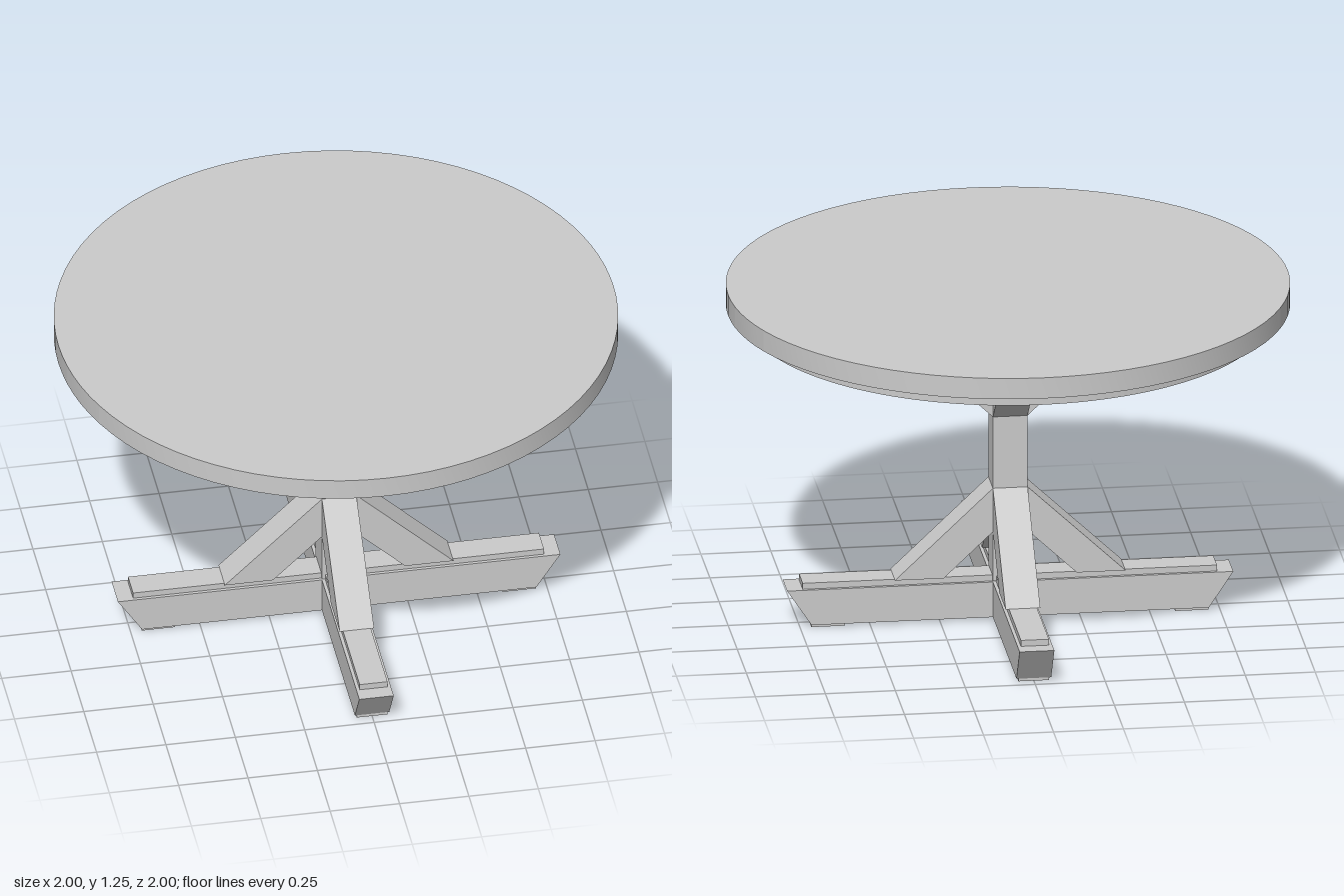
import * as THREE from 'three';
import { toCreasedNormals } from 'three/addons/utils/BufferGeometryUtils.js';

const material = new THREE.MeshStandardMaterial({ color: 0xcccccc });

function addMesh(parent, name, geometry) {
  const mesh = new THREE.Mesh(geometry, material);
  mesh.name = name;
  parent.add(mesh);
  return mesh;
}

// Side profile in x/y, given a thickness centred on z
function board(points, width) {
  const shape = new THREE.Shape(points.map(([x, y]) => new THREE.Vector2(x, y)));
  const g = new THREE.ExtrudeGeometry(shape, { depth: width, bevelEnabled: false });
  return g.translate(0, 0, -width / 2);
}

// Flat outline in x/z raised from y0 to y1, with a smooth rim
function slab(shape, y0, y1) {
  const g = new THREE.ExtrudeGeometry(shape, { depth: y1 - y0, bevelEnabled: false, curveSegments: 64 });
  g.rotateX(-Math.PI / 2).translate(0, y0, 0);
  return toCreasedNormals(g, 0.5);
}

// Slice of a unit disc between two parallel seams
function plankShape(a, b) {
  const points = [];
  const t0 = Math.asin(a), t1 = Math.asin(b);
  const n = Math.max(4, Math.ceil((t1 - t0) * 12));
  for (let i = 0; i <= n; i++) {
    const t = t0 + ((t1 - t0) * i) / n;
    points.push(new THREE.Vector2(Math.cos(t), Math.sin(t)));
  }
  for (let i = n; i >= 0; i--) {
    if (Math.abs(points[i].x) > 1e-6) points.push(new THREE.Vector2(-points[i].x, points[i].y));
  }
  return new THREE.Shape(points);
}

export function createModel() {
  const table = new THREE.Group();
  table.name = 'roundPedestalTable';
  const W = 0.124;

  // Round top made of five planks
  const top = new THREE.Group();
  top.name = 'tableTop';
  table.add(top);
  const seams = [-1, -0.384, -0.128, 0.128, 0.384, 1];
  for (let i = 0; i < 5; i++) {
    addMesh(top, 'topPlank', slab(plankShape(seams[i], seams[i + 1]), 1.167, 1.245));
  }

  // Thin ring under the top
  const ring = new THREE.Shape().absarc(0, 0, 0.927, 0, Math.PI * 2);
  ring.holes.push(new THREE.Path().absarc(0, 0, 0.89, 0, Math.PI * 2, true));
  addMesh(table, 'apronRing', slab(ring, 1.117, 1.167));

  // Central post
  addMesh(table, 'post', new THREE.BoxGeometry(W, 1.02, W).translate(0, 0.655, 0));

  // Crossed beams at the base and under the top
  for (const turn of [0, Math.PI / 2]) {
    const cross = new THREE.Group();
    cross.name = 'crossBeams';
    cross.rotation.y = turn;
    table.add(cross);
    addMesh(cross, 'baseBeam', board([[-0.71, 0.01], [0.71, 0.01], [0.797, 0.142], [-0.797, 0.142]], W));
    addMesh(cross, 'baseStrip', new THREE.BoxGeometry(1.48, 0.023, 0.1).translate(0, 0.153, 0));
    addMesh(cross, 'topBeam', board([
      [-0.66, 1.095], [0.66, 1.095], [0.74, 1.13], [0.74, 1.167], [-0.74, 1.167], [-0.74, 1.13],
    ], W));
  }

  // Diagonal braces and foot pads, one set per arm
  for (let i = 0; i < 4; i++) {
    const arm = new THREE.Group();
    arm.name = 'arm';
    arm.rotation.y = (i * Math.PI) / 2;
    table.add(arm);
    addMesh(arm, 'lowerBrace', board([[0.06, 0.497], [0.06, 0.333], [0.238, 0.164], [0.412, 0.164]], W));
    addMesh(arm, 'upperBrace', board([[0.06, 0.762], [0.412, 1.096], [0.238, 1.096], [0.06, 0.928]], W));
    addMesh(arm, 'footPad', new THREE.BoxGeometry(0.12, 0.012, 0.11).translate(0.65, 0.006, 0));
  }
  return table;
}
